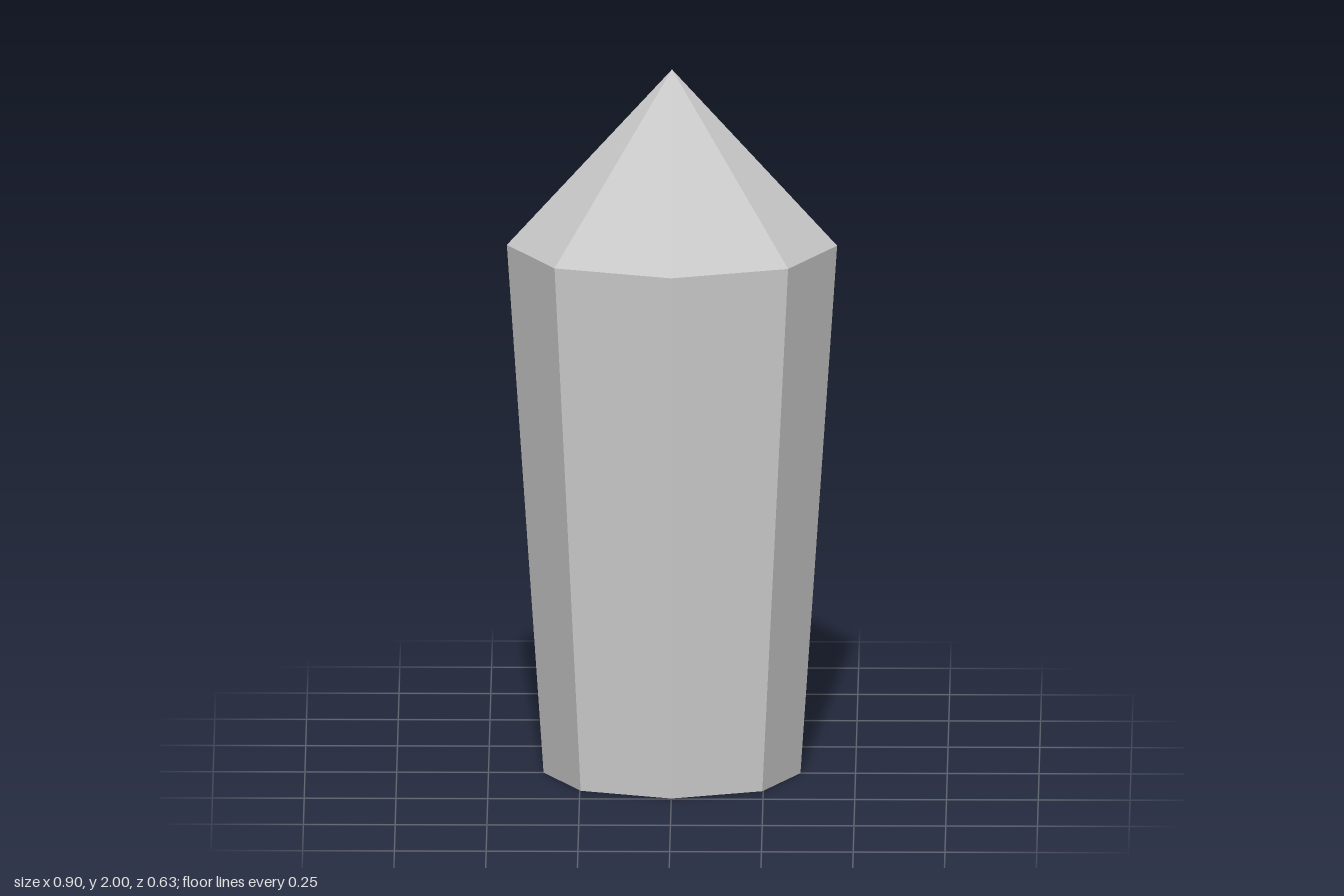
import * as THREE from 'three';

const SIDES = 8;
const DEPTH = 0.7; // the cross-section is a flattened octagon
const SHAFT_HEIGHT = 1.5;
const TIP_HEIGHT = 0.5;
const BASE_RADIUS = 0.35;
const SHOULDER_RADIUS = 0.45;

export function createModel() {
  const group = new THREE.Group();
  group.name = 'crystal';
  const material = new THREE.MeshStandardMaterial({ color: 0xcccccc, flatShading: true });

  function addPart(name, geometry, y) {
    geometry.scale(1, 1, DEPTH).translate(0, y, 0);
    const mesh = new THREE.Mesh(geometry, material);
    mesh.name = name;
    group.add(mesh);
  }

  // Tapered shaft, narrower at the foot
  addPart('shaft',
    new THREE.CylinderGeometry(SHOULDER_RADIUS, BASE_RADIUS, SHAFT_HEIGHT, SIDES, 1, true),
    SHAFT_HEIGHT / 2);

  // Pointed tip
  addPart('tip',
    new THREE.ConeGeometry(SHOULDER_RADIUS, TIP_HEIGHT, SIDES, 1, true),
    SHAFT_HEIGHT + TIP_HEIGHT / 2);

  // Flat base, facing down
  addPart('base', new THREE.CircleGeometry(BASE_RADIUS, SIDES).rotateX(Math.PI / 2), 0);

  return group;
}
